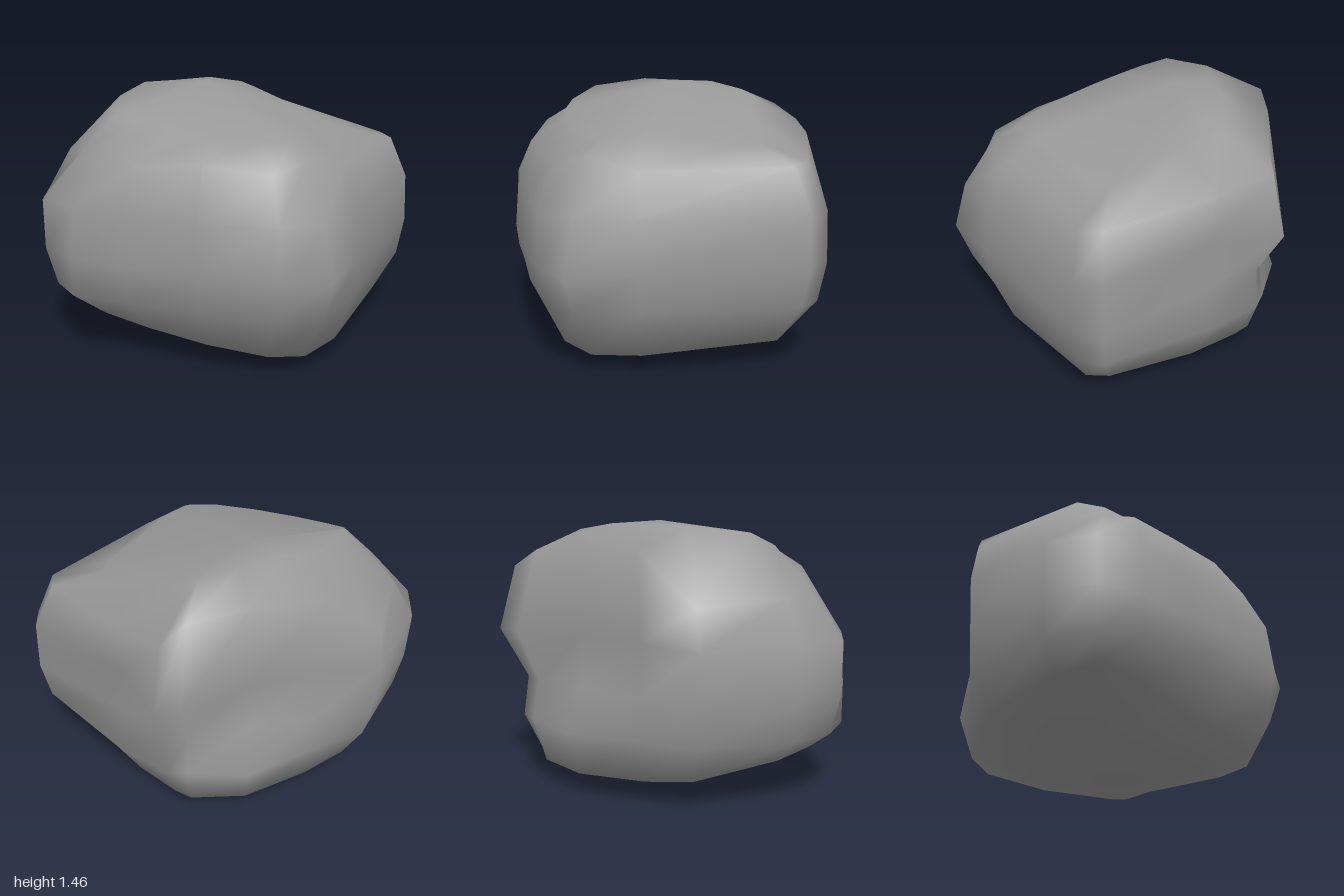
import * as THREE from 'three';

// Widest outline of the rock as [x, z], its scale on each side ring
// (foot, lower, middle, upper, shoulder), then the heights of foot and shoulder
const columns = [
  [0.97, 0.28, 0.76, 0.92, 1.0, 0.92, 0.73, 0.1, 1.17],
  [0.79, 0.49, 0.8, 0.95, 1.0, 0.97, 0.84, 0.12, 1.12],
  [0.42, 0.7, 0.8, 0.95, 1.0, 0.97, 0.86, 0.15, 1.15],
  [0.02, 0.88, 0.79, 0.95, 1.0, 0.97, 0.87, 0.19, 1.12],
  [-0.28, 0.98, 0.82, 1.0, 1.0, 0.98, 0.75, 0.24, 1.22],
  [-0.54, 1.0, 0.82, 0.93, 0.98, 0.98, 0.76, 0.28, 1.16],
  [-0.74, 0.81, 0.83, 0.94, 0.98, 0.99, 0.87, 0.25, 1.11],
  [-0.97, 0.32, 0.83, 0.94, 0.98, 1.0, 0.97, 0.17, 1.09],
  [-0.87, 0.0, 0.9, 0.98, 0.97, 0.95, 0.98, 0.14, 1.34],
  // hollow in the back corner
  [-0.8, -0.42, 0.9, 1.0, 0.87, 0.86, 0.88, 0.13, 1.37],
  [-0.66, -0.75, 0.84, 0.91, 0.87, 0.98, 0.86, 0.13, 1.31],
  [-0.59, -0.86, 0.78, 0.89, 0.86, 1.0, 0.91, 0.13, 1.22],
  [-0.2, -0.9, 0.8, 0.97, 0.91, 0.89, 0.95, 0.1, 1.19],
  [0.45, -1.0, 0.77, 0.96, 1.0, 0.99, 0.88, 0.12, 1.13],
  [0.58, -0.92, 0.82, 0.96, 1.0, 0.99, 0.89, 0.15, 1.12],
  [0.86, -0.07, 0.84, 0.96, 1.0, 0.96, 0.86, 0.11, 1.11],
];

// Scale and height of every ring, from the underside to the sloping top
const rings = [
  { scale: () => 0.45, y: (c, x, z) => 0.04 - 0.05 * x + 0.04 * z },
  { scale: (c) => c[2], y: (c) => c[7] },
  { scale: (c) => c[3], y: () => 0.38 },
  { scale: (c) => c[4], y: () => 0.6 },
  { scale: (c) => c[5], y: () => 0.88 },
  { scale: (c) => c[6], y: (c) => c[8] },
  { scale: () => 0.6, y: (c, x, z) => Math.min(1.45, 1.39 - 0.24 * x - 0.36 * z * z) },
];

function boulderGeometry() {
  const positions = [];
  const index = [];
  const n = columns.length;

  for (const ring of rings) {
    for (const column of columns) {
      const s = ring.scale(column);
      const x = column[0] * s;
      const z = column[1] * s;
      positions.push(x, ring.y(column, x, z), z);
    }
  }
  const bottom = positions.length / 3;
  positions.push(0.17, 0, 0, -0.3, 1.46, -0.03);

  for (let i = 0; i < n; i++) {
    const k = (i + 1) % n;
    for (let r = 0; r < rings.length - 1; r++) {
      const a = r * n + i, b = r * n + k;
      index.push(a, a + n, b, b, a + n, b + n);
    }
    // Close the underside and the top
    const last = (rings.length - 1) * n;
    index.push(bottom, i, k, bottom + 1, last + k, last + i);
  }

  const geometry = new THREE.BufferGeometry();
  geometry.setAttribute('position', new THREE.Float32BufferAttribute(positions, 3));
  geometry.setIndex(index);
  geometry.computeVertexNormals();
  return geometry;
}

export function createModel() {
  const group = new THREE.Group();
  group.name = 'rock';
  const boulder = new THREE.Mesh(
    boulderGeometry(),
    new THREE.MeshStandardMaterial({ color: 0x999999 })
  );
  boulder.name = 'boulder';
  group.add(boulder);
  return group;
}
